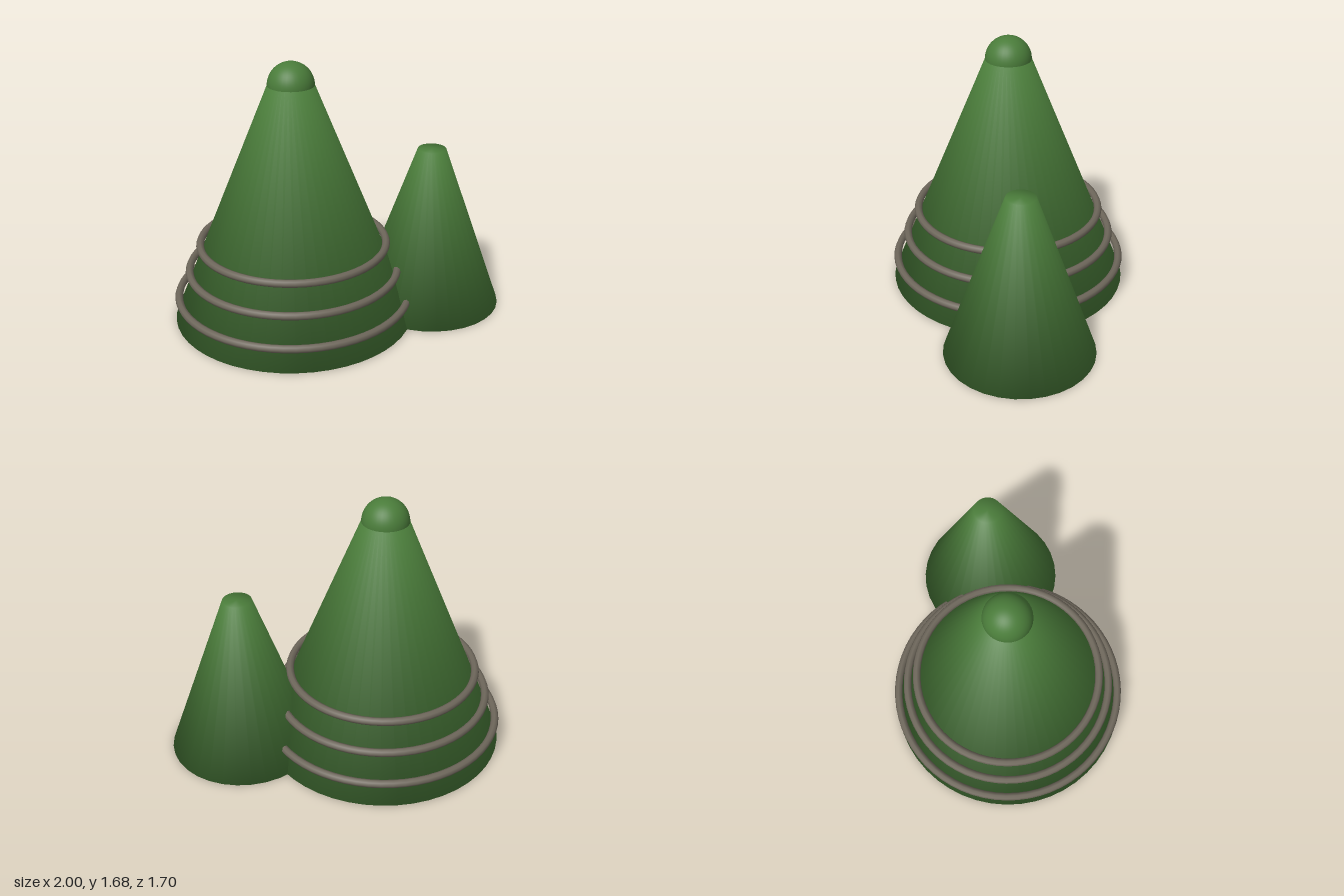
import * as THREE from 'three';

const green = new THREE.MeshStandardMaterial({ color: 0x4a7c3a });
green.name = 'leafGreen';
const grey = new THREE.MeshStandardMaterial({ color: 0x6e675b });
grey.name = 'stoneGrey';

// Closed truncated cone standing on y = 0, shaded smoothly across its rims
function softCone(baseR, topR, height, sides) {
  const profile = [[0, 0], [baseR, 0], [topR, height], [0, height]].map(([x, y]) => new THREE.Vector2(x, y));
  const geo = new THREE.LatheGeometry(profile, sides);
  const side = new THREE.Vector2(height, baseR - topR).normalize();
  const down = new THREE.Vector2(0, -1), up = new THREE.Vector2(0, 1);
  const normals = [down, side.clone().add(down).normalize(), side.clone().add(up).normalize(), up];
  for (let i = 0; i <= sides; i++) {
    const a = (i / sides) * Math.PI * 2;
    normals.forEach((n, j) => geo.attributes.normal.setXYZ(i * 4 + j, n.x * Math.sin(a), n.y, n.x * Math.cos(a)));
  }
  return geo;
}

function add(parent, name, geometry, material, y = 0) {
  const mesh = new THREE.Mesh(geometry, material);
  mesh.name = name;
  mesh.position.y = y;
  parent.add(mesh);
  return mesh;
}

export function createModel() {
  const model = new THREE.Group();
  model.name = 'hills';

  // Tall hill with a rounded summit
  const tall = new THREE.Group();
  tall.name = 'tallHill';
  tall.position.set(-0.235, 0, 0.085);
  model.add(tall);
  add(tall, 'tallCone', softCone(0.765, 0.145, 1.535, 48), green);
  add(tall, 'summitDome', new THREE.SphereGeometry(0.145, 32, 16, 0, Math.PI * 2, 0, Math.PI / 2), green, 1.535);

  // Terrace rings around the lower slope
  [[0.15, 0.74], [0.328, 0.665], [0.503, 0.59]].forEach(([y, radius], i) => {
    const ring = new THREE.TorusGeometry(radius, 0.025, 8, 64).rotateX(Math.PI / 2);
    add(tall, 'terraceRing' + (i + 1), ring, grey, y);
  });

  // Lower hill behind
  const low = add(model, 'lowHill', softCone(0.467, 0.09, 1.06, 32), green);
  low.position.set(0.532, 0, -0.385);

  return model;
}
